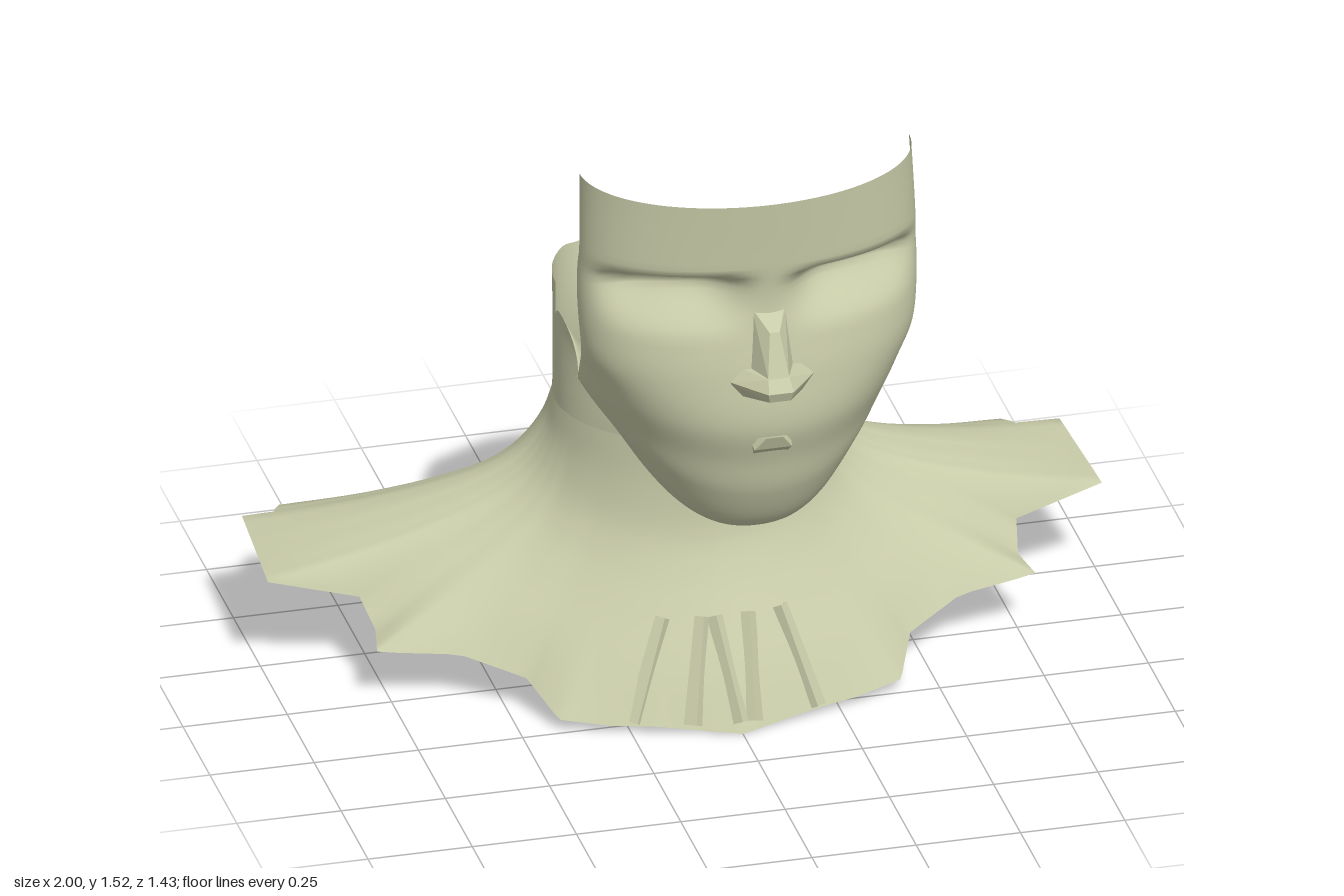
import * as THREE from 'three';
import { ConvexGeometry } from 'three/addons/geometries/ConvexGeometry.js';

const skin = new THREE.MeshStandardMaterial({ color: 0xc8cba8, side: THREE.DoubleSide });
const facet = new THREE.MeshStandardMaterial({ color: 0xc8cba8, side: THREE.DoubleSide, flatShading: true });
const V = (x, y, z) => new THREE.Vector3(x, y, z);
const rad = THREE.MathUtils.degToRad;
const smooth = THREE.MathUtils.smoothstep;
const signedPow = (s, e) => Math.sign(s) * Math.abs(s) ** e;
const STEP = 2; // degrees between columns
const NECK_Y = 0.65, NECK_Z = -0.18;

// Neck ring, pointed in front and squarer behind: angle 0 is the front, 90 the model's left
function ring(deg, y) {
  const s = Math.sin(rad(deg)), c = Math.cos(rad(deg));
  return V(0.31 * signedPow(s, c > 0 ? 1.3 : 0.7), y, NECK_Z + (c > 0 ? 0.3 : 0.24) * c);
}

// Open sheet from columns (angle) and rows (upwards)
function sheet(from, to, rows, columnAt) {
  const pos = [], index = [], cols = Math.round((to - from) / STEP);
  for (let c = 0; c <= cols; c++) {
    const point = columnAt(from + c * STEP);
    for (let r = 0; r <= rows; r++) pos.push(...point(r / rows).toArray());
  }
  for (let c = 0; c < cols; c++) {
    for (let r = 0; r < rows; r++) {
      const a = c * (rows + 1) + r, b = a + rows + 1;
      index.push(a, b, b + 1, a, b + 1, a + 1);
    }
  }
  const g = new THREE.BufferGeometry();
  g.setAttribute('position', new THREE.Float32BufferAttribute(pos, 3));
  g.setIndex(index);
  g.computeVertexNormals();
  return g;
}

// Ragged hem of the left half, front to back
const HEM = [
  [0, 0.01, 0.36], [0.2, 0.03, 0.31], [0.3, 0.03, 0.28], [0.41, 0.04, 0.24], [0.46, 0.1, 0.13],
  [0.6, 0.14, 0.05], [0.79, 0.155, 0.02], [0.77, 0.165, -0.07], [0.79, 0.22, -0.165], [1, 0.265, -0.18],
  [0.98, 0.275, -0.5], [0.9, 0.25, -0.53], [0.87, 0.24, -0.6], [0.8, 0.2, -0.62], [0.8, 0.16, -0.67],
  [0.75, 0.14, -0.7], [0.6, 0.1, -0.72], [0.4, 0.09, -0.69], [0, 0.09, -0.7],
].map(p => ({ p: V(...p), deg: THREE.MathUtils.radToDeg(Math.atan2(p[0], p[2] - NECK_Z)) }));

function hemAt(deg) {
  const d = ((deg + 540) % 360) - 180, a = Math.abs(d);
  let i = 0;
  while (i < HEM.length - 2 && HEM[i + 1].deg < a) i++;
  const t = (a - HEM[i].deg) / (HEM[i + 1].deg - HEM[i].deg);
  const p = HEM[i].p.clone().lerp(HEM[i + 1].p, Math.min(t, 1));
  if (d < 0) p.x *= -1;
  return p;
}

// Hem averaged over nearby angles, so the jags fade towards the neck
function softHem(deg) {
  const p = V(0, 0, 0);
  for (let k = -5; k <= 5; k++) p.addScaledVector(hemAt(deg + k * 3), 1 / 11);
  return p;
}

// Flare from neck to hem: share of the drop, and of the spread at side, front and back
const DROP = [0, 0.2, 0.38, 0.51, 0.64, 0.82, 1];
const SIDE = [0, 0.03, 0.1, 0.2, 0.37, 0.68, 1];
const FRONT = [0, 0, 0.06, 0.22, 0.44, 0.75, 1];
const BACK = [0, 0.13, 0.29, 0.43, 0.59, 0.8, 1];

function shoulderColumn(deg) {
  const n = ring(deg, NECK_Y), hem = hemAt(deg), soft = softHem(deg);
  const c = Math.cos(rad(deg)), w = c * c, axis = c > 0 ? FRONT : BACK;
  const pts = DROP.map((drop, i) => {
    const a = THREE.MathUtils.lerp(SIDE[i], axis[i], w);
    const target = soft.clone().lerp(hem, Math.pow(drop, 4));
    return V(n.x + (target.x - n.x) * a, n.y + (target.y - n.y) * drop, n.z + (target.z - n.z) * a);
  });
  const curve = new THREE.CatmullRomCurve3(pts.reverse());
  return v => curve.getPoint(v);
}

// Back of the neck, open at the top
function neckColumn(deg) {
  const top = 0.96 + 0.012 * Math.cos(rad(deg * 6)) * (1 - smooth(Math.abs(deg - 180), 30, 60));
  return v => {
    const p = ring(deg, NECK_Y + (top - NECK_Y) * v);
    p.z += (0.025 * Math.sin(Math.PI * v) - 0.01 * v) * Math.max(0, -Math.cos(rad(deg)));
    return p;
  };
}

// Face rows, neck to forehead: centre y, z, then the rear edge x, y, z
const FACE = [
  [0.65, 0.12, 0.31, 0.65, -0.18], [0.66, 0.145, 0.31, 0.885, -0.178],
  [0.63, 0.28, 0.31, 0.9, -0.12], [0.61, 0.41, 0.315, 0.895, 0],
  [0.63, 0.5, 0.33, 0.895, 0.1], [0.75, 0.58, 0.35, 0.9, 0.18],
  [0.85, 0.61, 0.365, 0.94, 0.24], [0.95, 0.64, 0.38, 1.02, 0.32],
  [1.08, 0.635, 0.395, 1.09, 0.385], [1.25, 0.61, 0.405, 1.22, 0.39],
  [1.38, 0.62, 0.4, 1.38, 0.39], [1.535, 0.635, 0.395, 1.535, 0.37],
];

function faceColumn(deg) {
  const s = Math.sin(rad(deg)), c = Math.cos(rad(deg));
  const curve = new THREE.CatmullRomCurve3(FACE.map(([fy, fz, ex, ey, ez], i) =>
    V(ex * signedPow(s, Math.max(1, 1.3 - 0.08 * i)), fy + (ey - fy) * Math.abs(s) ** 2.5, ez + (fz - ez) * c)));
  return v => {
    const p = curve.getPoint(v);
    // eye sockets under a sharp brow
    const across = Math.exp(-Math.pow((Math.abs(p.x) - 0.22) / 0.15, 4));
    const socket = (1 - smooth(p.y, 1.305, 1.35)) * smooth(p.y, 1.18, 1.31);
    p.z -= 0.08 * across * socket;
    return p;
  };
}

// Faceted solid from the left-hand points and their mirror images
const mirrored = pts => new ConvexGeometry(pts.flatMap(([x, y, z]) => [V(x, y, z), V(-x, y, z)]));

export function createModel() {
  const group = new THREE.Group();
  const add = (name, geometry, material = skin) => {
    const mesh = new THREE.Mesh(geometry, material);
    mesh.name = name;
    group.add(mesh);
    return mesh;
  };

  add('shoulders', sheet(-180, 180, 30, shoulderColumn));
  add('neckBack', sheet(90, 270, 10, neckColumn));
  add('face', sheet(-90, 90, 88, faceColumn));

  // Nose and mouth
  add('noseBridge', mirrored([[0.04, 1.25, 0.595], [0.012, 1.21, 0.655], [0.025, 1.11, 0.69],
    [0.055, 1.1, 0.62], [0.03, 1.08, 0.62]]), facet);
  add('noseTip', mirrored([[0.025, 1.11, 0.695], [0.03, 1.08, 0.715], [0.025, 1.055, 0.705],
    [0.07, 1.11, 0.63], [0.1, 1.08, 0.63], [0.08, 1.04, 0.62], [0.03, 1.045, 0.655]]), facet);
  add('lips', mirrored([[0.02, 0.935, 0.655], [0.045, 0.9, 0.64], [0.04, 0.865, 0.6],
    [0.05, 0.92, 0.61]]), facet);

  // Pleats on the chest: top and bottom x
  for (const [top, bottom] of [[-0.15, -0.24], [-0.06, -0.11], [-0.03, 0], [0.05, 0.03], [0.13, 0.19]]) {
    const a = V(top, 0.25, 0.215 - top * top), b = V(bottom, 0.03, 0.34 - bottom * bottom);
    const dir = a.clone().sub(b);
    const pleat = add('pleat', new THREE.CylinderGeometry(0.018, 0.024, dir.length(), 4, 1, true), facet);
    pleat.position.copy(a).add(b).multiplyScalar(0.5);
    pleat.quaternion.setFromUnitVectors(V(0, 1, 0), dir.normalize());
  }
  return group;
}
